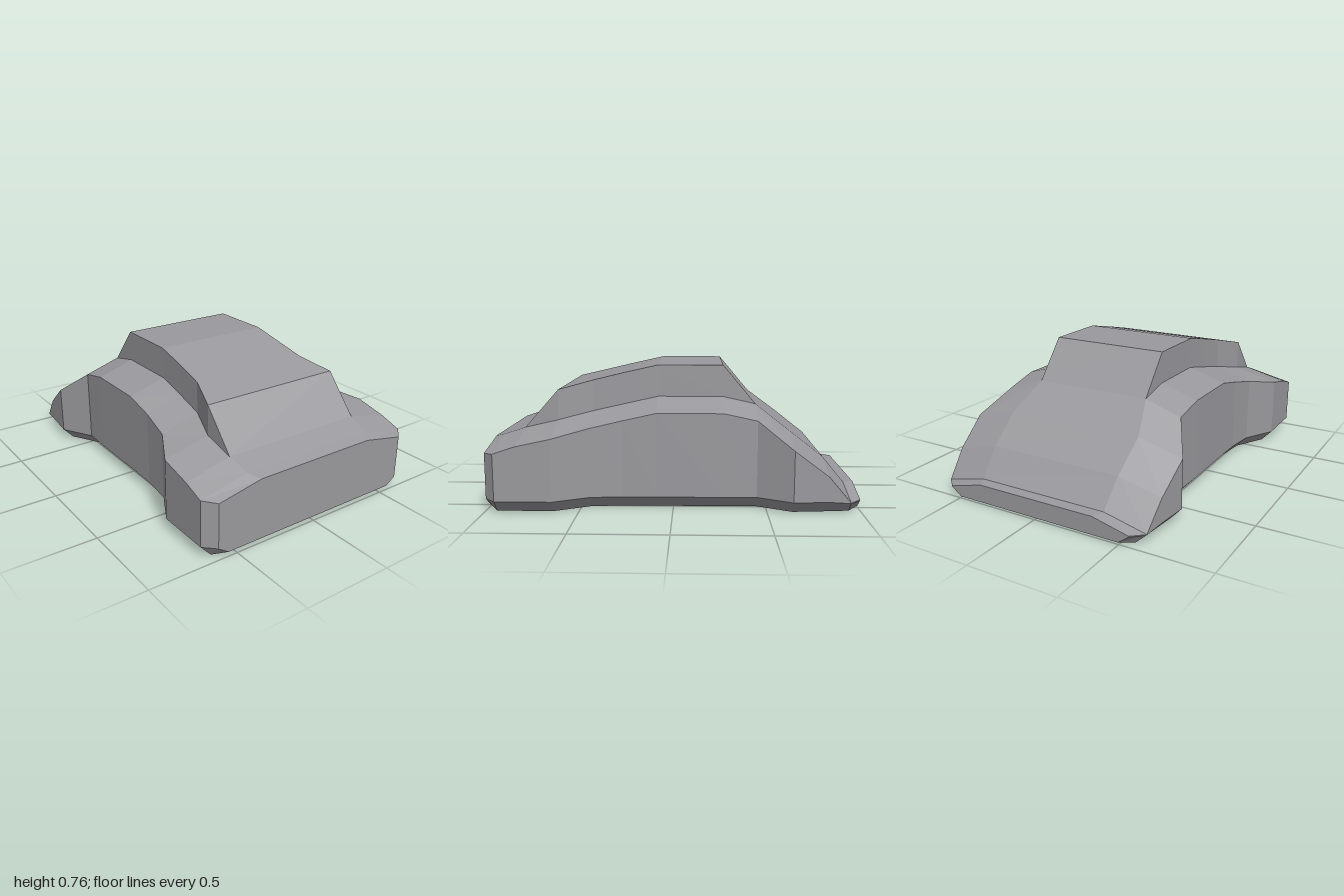
import * as THREE from 'three';

// Skins mirrored cross-sections, ordered from back to front.
// Each section is { z, pts }, with pts running up the +x half.
function loft(sections, closed) {
  const rings = sections.map(({ z, pts }) => [
    ...pts.map(([x, y]) => new THREE.Vector3(x, y, z)),
    ...pts.map(([x, y]) => new THREE.Vector3(-x, y, z)).reverse(),
  ]);
  const n = rings[0].length;
  const pos = [];
  const tri = (a, b, c) => {
    const area = b.clone().sub(a).cross(c.clone().sub(a)).length();
    if (area > 1e-7) for (const v of [a, b, c]) pos.push(v.x, v.y, v.z);
  };
  for (let i = 0; i < rings.length - 1; i++) {
    for (let j = 0; j < (closed ? n : n - 1); j++) {
      const k = (j + 1) % n;
      const a = rings[i][j], b = rings[i][k], c = rings[i + 1][k], d = rings[i + 1][j];
      // Diagonals are mirrored so both sides match
      if (j < n / 2) { tri(a, b, c); tri(a, c, d); }
      else { tri(a, b, d); tri(b, c, d); }
    }
  }
  if (closed) {
    const back = rings[0], front = rings[rings.length - 1];
    for (let j = 1; j < n - 1; j++) {
      tri(front[0], front[j], front[j + 1]);
      tri(back[0], back[j + 1], back[j]);
    }
  }
  const geo = new THREE.BufferGeometry();
  geo.setAttribute('position', new THREE.Float32BufferAttribute(pos, 3));
  geo.computeVertexNormals();
  return geo;
}

export function createModel() {
  const group = new THREE.Group();
  const material = new THREE.MeshStandardMaterial({ color: 0x9a999d, flatShading: true });
  const add = (name, geo) => {
    const mesh = new THREE.Mesh(geo, material);
    mesh.name = name;
    group.add(mesh);
  };

  // Body: z, floor y, sill y, side half-width, side top y, deck half-width, deck y
  const body = [
    [-1.00, 0.01, 0.055, 0.555, 0.06, 0.35, 0.11],
    [-0.94, 0.00, 0.055, 0.62, 0.058, 0.38, 0.115],
    [-0.82, 0.00, 0.065, 0.635, 0.20, 0.39, 0.26],
    [-0.635, 0.00, 0.065, 0.653, 0.34, 0.40, 0.405],
    [-0.45, 0.00, 0.065, 0.548, 0.48, 0.34, 0.545],
    [-0.27, 0.00, 0.065, 0.553, 0.52, 0.34, 0.585],
    [0.09, 0.00, 0.065, 0.553, 0.52, 0.34, 0.585],
    [0.27, 0.00, 0.065, 0.555, 0.48, 0.345, 0.545],
    [0.45, 0.00, 0.065, 0.575, 0.44, 0.355, 0.505],
    [0.635, 0.00, 0.065, 0.675, 0.40, 0.418, 0.463],
    [0.82, 0.00, 0.065, 0.675, 0.36, 0.418, 0.42],
    [0.94, 0.00, 0.065, 0.675, 0.32, 0.40, 0.38],
    [1.00, 0.025, 0.065, 0.612, 0.312, 0.36, 0.362],
  ];
  add('body', loft(body.map(([z, floor, sill, w, top, dw, dy]) => (
    { z, pts: [[w - 0.06, floor], [w, sill], [w, top], [dw, dy]] })), true));

  // Cabin rising from the deck: z, half-width, base y, roof y
  const cabin = [
    [-0.45, 0.34, 0.545, 0.545],
    [-0.27, 0.34, 0.585, 0.76],
    [0.09, 0.34, 0.585, 0.76],
    [0.27, 0.345, 0.545, 0.72],
    [0.45, 0.355, 0.505, 0.677],
    [0.635, 0.418, 0.463, 0.63],
    [0.82, 0.418, 0.42, 0.42],
  ];
  add('cabin', loft(cabin.map(([z, w, base, roof]) => (
    { z, pts: [[w, base], [w, roof]] })), false));

  return group;
}
